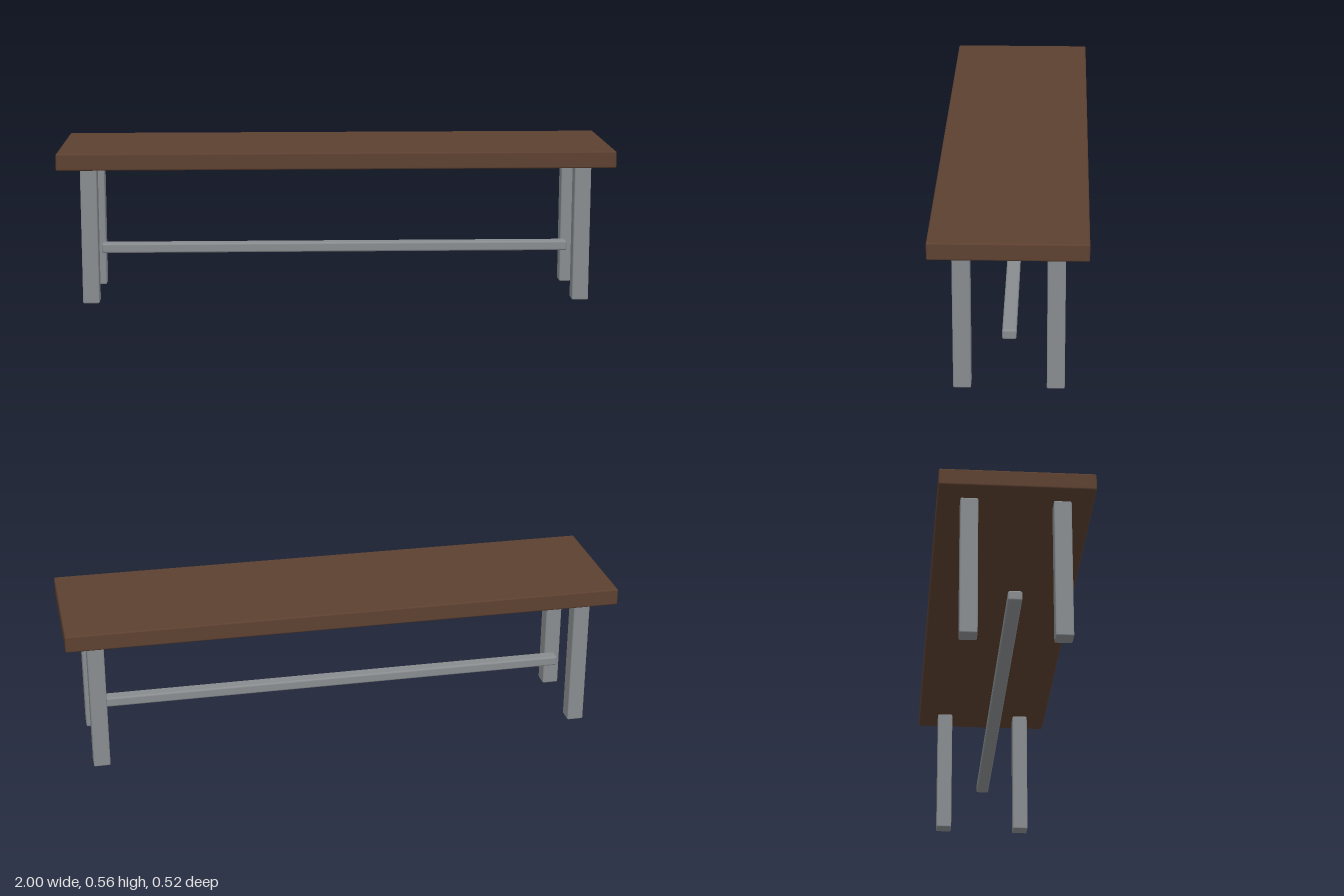
import * as THREE from 'three';
import { RoundedBoxGeometry } from 'three/addons/geometries/RoundedBoxGeometry.js';

export function createModel() {
  const bench = new THREE.Group();
  bench.name = 'bench';
  const wood = new THREE.MeshStandardMaterial({ color: 0x5c4030 });
  const metal = new THREE.MeshStandardMaterial({ color: 0x888c8f });

  // Softly rounded bar or board, centred at the given point
  function addBlock(name, size, position, radius, material) {
    const mesh = new THREE.Mesh(new RoundedBoxGeometry(...size, 3, radius), material);
    mesh.name = name;
    mesh.position.set(...position);
    bench.add(mesh);
  }

  // Seat board
  addBlock('seat', [2, 0.061, 0.524], [0, 0.532, 0], 0.006, wood);

  // Four square legs
  for (const [side, sx] of [['Left', 1], ['Right', -1]]) {
    for (const [end, sz] of [['front', 1], ['back', -1]]) {
      addBlock(`${end}${side}Leg`, [0.06, 0.5, 0.06], [sx * 0.893, 0.25, sz * 0.156], 0.005, metal);
    }
  }

  // Long stretcher between the leg pairs
  addBlock('stretcher', [1.73, 0.036, 0.048], [0, 0.17, 0], 0.007, metal);

  return bench;
}
